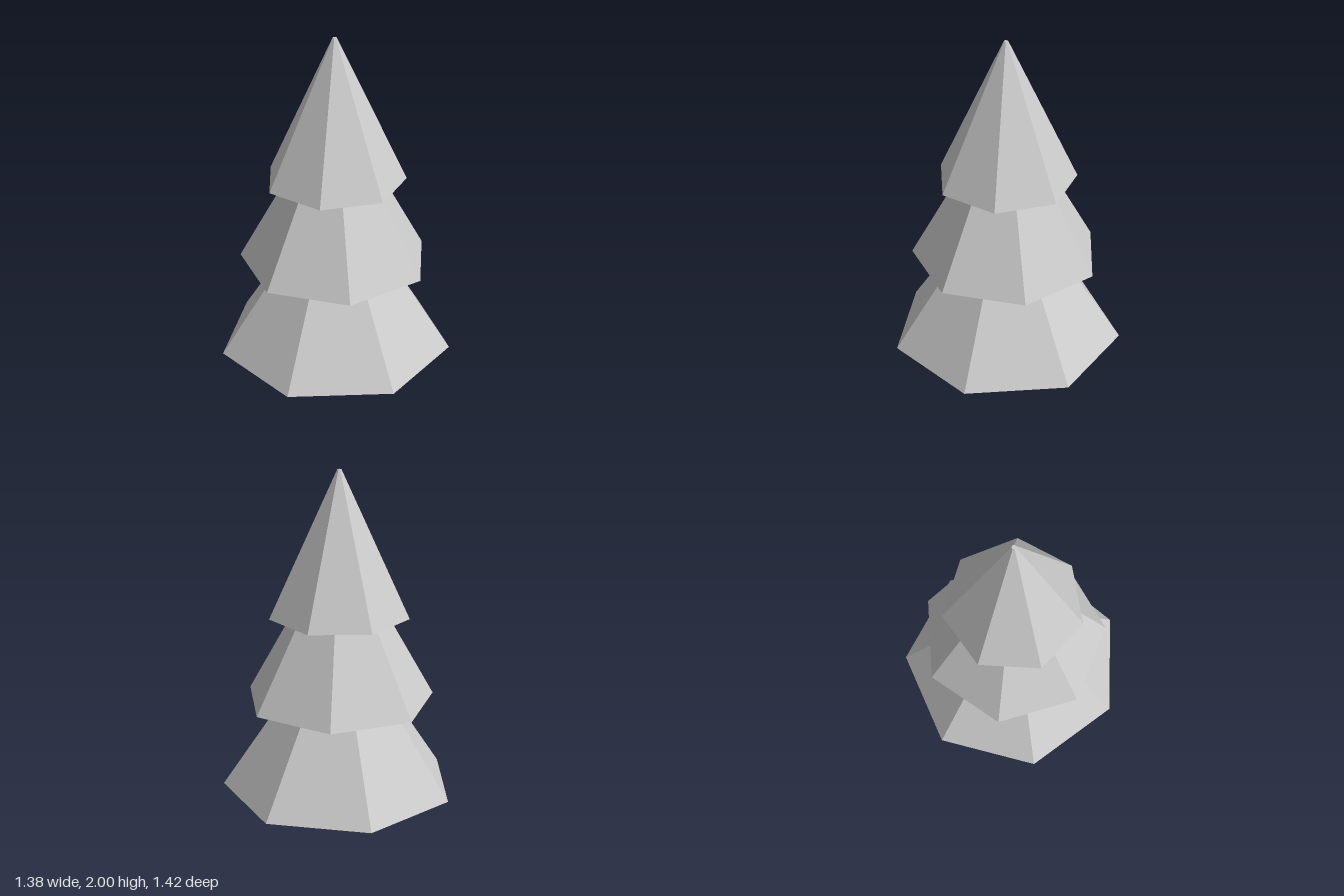
import * as THREE from 'three';

export function createModel() {
  const tree = new THREE.Group();
  tree.name = 'pineTree';

  const lightGrey = new THREE.MeshStandardMaterial({ color: 0xcccccc });
  lightGrey.name = 'lightGrey';

  // Seven-sided foliage tiers; turn is the angle of the first corner from +x towards +z
  const tiers = [
    { name: 'lowerTier', bottom: 0, top: 0.573, r0: 0.727, r1: 0.342, turn: 0 },
    { name: 'middleTier', bottom: 0.573, top: 1.11, r0: 0.589, r1: 0.289, turn: 20 },
    { name: 'upperTier', bottom: 1.11, top: 2, r0: 0.432, r1: 0.013, turn: -11.4 },
  ];

  for (const { name, bottom, top, r0, r1, turn } of tiers) {
    const start = Math.PI / 2 - THREE.MathUtils.degToRad(turn);
    // Non-indexed with recomputed normals gives each side a flat facet
    const geometry = new THREE.CylinderGeometry(r1, r0, top - bottom, 7, 1, false, start).toNonIndexed();
    geometry.computeVertexNormals();
    const tier = new THREE.Mesh(geometry, lightGrey);
    tier.name = name;
    tier.position.set(-0.036, (bottom + top) / 2, 0);
    tree.add(tier);
  }

  return tree;
}
